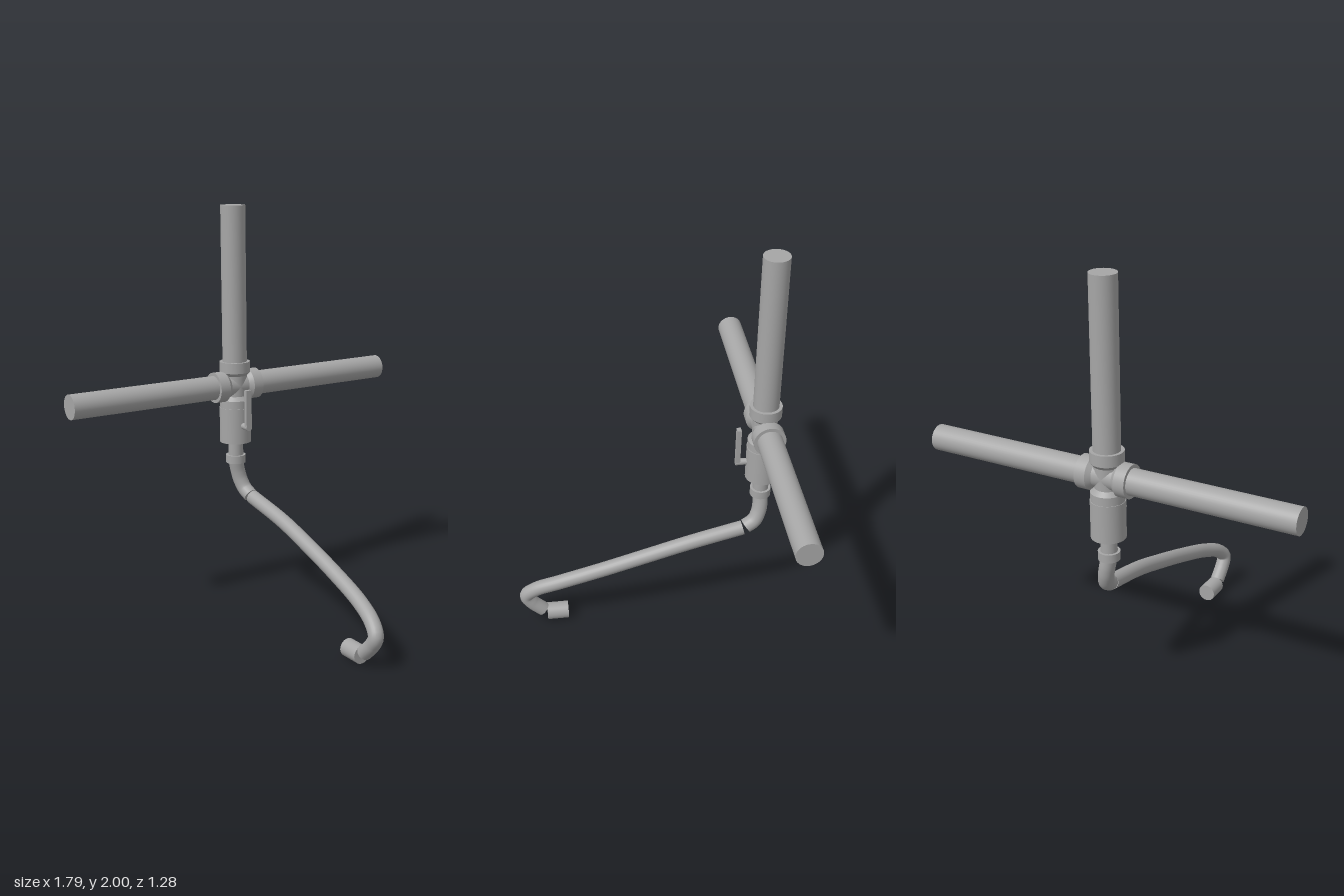
import * as THREE from 'three';

const steel = new THREE.MeshStandardMaterial({ color: 0xa6a6a6 });
steel.name = 'grey steel';

const AXIS_Z = -0.558; // depth of the pipe cross
const CROSS_Y = 1.108;

function add(parent, name, geometry, x = 0, y = 0, z = 0) {
  const mesh = new THREE.Mesh(geometry, steel);
  mesh.name = name;
  mesh.position.set(x, y, z);
  parent.add(mesh);
  return mesh;
}

const rod = (radius, length) => new THREE.CylinderGeometry(radius, radius, length, 40);

// Round tube along points, closed with a disc at each end
function cappedTube(parent, name, points, radius, segments) {
  const curve = new THREE.CatmullRomCurve3(points.map(p => new THREE.Vector3(...p)));
  const group = new THREE.Group();
  group.name = name;
  add(group, name + 'Wall', new THREE.TubeGeometry(curve, segments, radius, 24));
  for (const t of [0, 1]) {
    const p = curve.getPointAt(t);
    const out = curve.getTangentAt(t).multiplyScalar(t ? 1 : -1);
    const cap = add(group, name + 'End', new THREE.CircleGeometry(radius, 24), p.x, p.y, p.z);
    cap.quaternion.setFromUnitVectors(new THREE.Vector3(0, 0, 1), out);
  }
  parent.add(group);
}

// Socket of the cross fitting: neck, chamfer, collar and flat rim
function socketGeometry() {
  const sections = [
    [[0.058, 0], [0.058, 0.05]],
    [[0.058, 0.05], [0.076, 0.07]],
    [[0.076, 0.07], [0.076, 0.123]],
    [[0.076, 0.123], [0, 0.123]],
  ];
  return sections.map(s => new THREE.LatheGeometry(s.map(p => new THREE.Vector2(...p)), 40));
}

export function createModel() {
  const model = new THREE.Group();
  model.name = 'pipeAndValve';

  // Cross fitting with four sockets
  const cross = new THREE.Group();
  cross.name = 'crossFitting';
  cross.position.set(0, CROSS_Y, AXIS_Z);
  const parts = socketGeometry();
  for (let i = 0; i < 4; i++) {
    const socket = new THREE.Group();
    socket.name = 'socket';
    socket.rotation.z = i * Math.PI / 2;
    parts.forEach(g => add(socket, 'socketSection', g));
    cross.add(socket);
  }
  model.add(cross);

  // Long pipes: one up, one to each side
  add(model, 'uprightPipe', rod(0.061, 0.85), 0, 1.575, AXIS_Z);
  for (const side of [-1, 1]) {
    const pipe = add(model, 'sidePipe', rod(0.06, 0.8), side * 0.497, CROSS_Y, AXIS_Z);
    pipe.rotation.z = Math.PI / 2;
  }

  // Valve body, nipple and ring below the cross
  add(model, 'valveBody', rod(0.079, 0.178), 0, 0.909, AXIS_Z);
  add(model, 'nipple', rod(0.038, 0.12), 0, 0.78, AXIS_Z);
  add(model, 'hoseRing', rod(0.05, 0.04), 0, 0.73, AXIS_Z);

  // Valve lever on its stem
  const stem = add(model, 'leverStem', rod(0.016, 0.07), 0, 0.912, -0.462);
  stem.rotation.x = Math.PI / 2;
  const w = 0.015;
  const outline = new THREE.Shape();
  outline.moveTo(w, 0);
  outline.lineTo(w, 0.19);
  outline.lineTo(-w, 0.19);
  outline.lineTo(-w, 0);
  outline.absarc(0, 0, w, Math.PI, Math.PI * 2, false);
  add(model, 'lever',
    new THREE.ExtrudeGeometry(outline, { depth: 0.021, bevelEnabled: false }), 0, 0.912, -0.448);

  // Elbow and long curved hose
  cappedTube(model, 'elbow', [
    [0, 0.715, AXIS_Z], [0.012, 0.66, -0.559], [0.022, 0.615, -0.552],
    [0.034, 0.57, -0.53], [0.042, 0.542, -0.488],
  ], 0.037, 32);
  cappedTube(model, 'hose', [
    [0.045, 0.536, -0.472], [0.054, 0.475, -0.21], [0.054, 0.412, 0],
    [0.05, 0.342, 0.22], [0.036, 0.268, 0.44], [0.015, 0.215, 0.56],
    [0.001, 0.165, 0.606], [0, 0.118, 0.583], [0, 0.061, 0.527],
  ], 0.036, 96);

  // Nozzle at the hose tip, pointing back
  const nozzle = add(model, 'nozzle', rod(0.043, 0.106), 0, 0.043, 0.454);
  nozzle.rotation.x = Math.PI / 2;

  return model;
}
